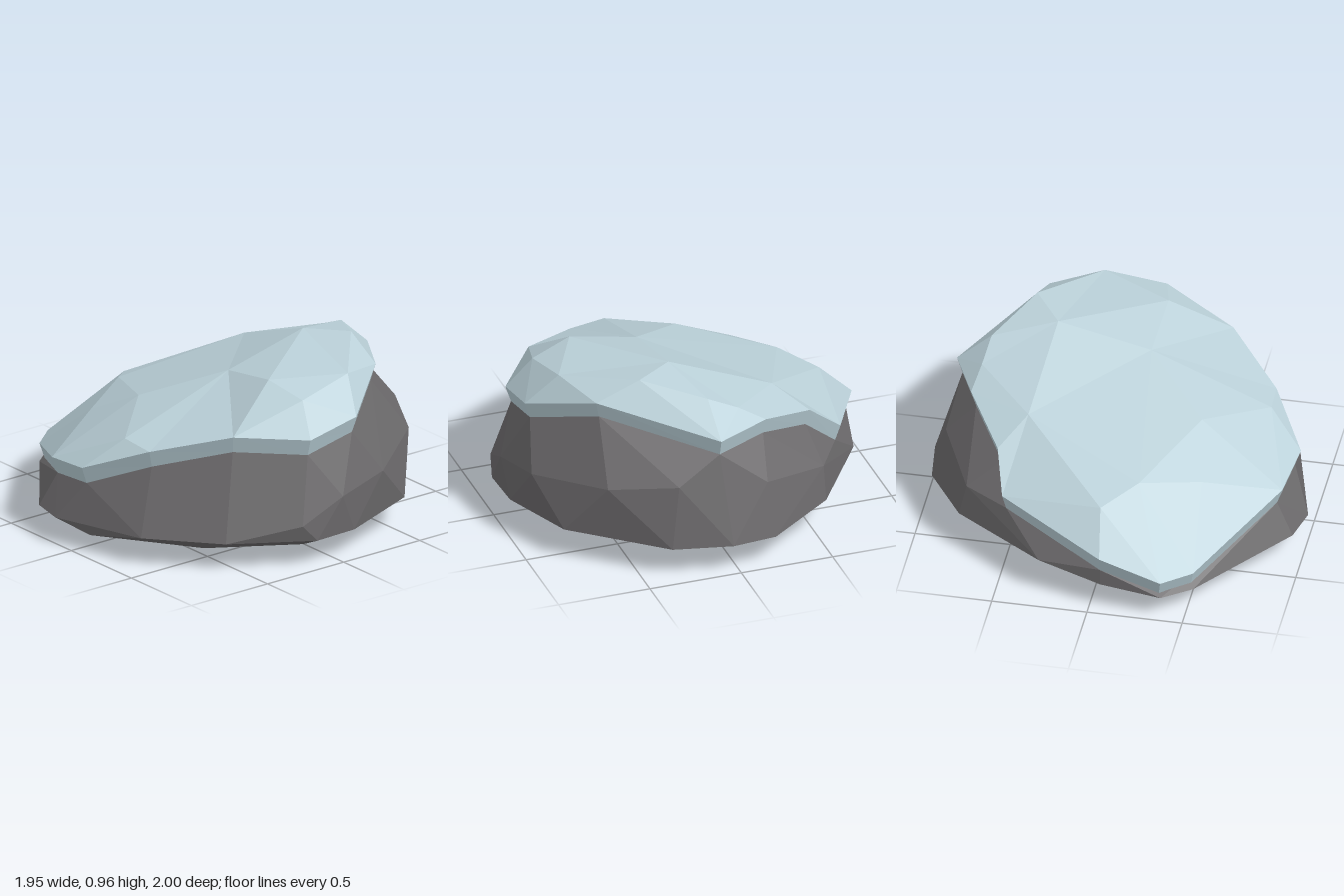
import * as THREE from 'three';
import { ConvexGeometry } from 'three/addons/geometries/ConvexGeometry.js';

const vec = (p) => new THREE.Vector3(...p);

// Lower lip of the snow, clockwise from the back (seen from above)
const RIM = [
  [0.07, 0.73, -0.89], [0.62, 0.86, -0.51], [0.89, 0.73, -0.17], [0.89, 0.67, 0.13],
  [0.65, 0.69, 0.45], [0.32, 0.58, 0.74], [0, 0.44, 0.93], [-0.3, 0.4, 0.89],
  [-0.86, 0.22, 0.53], [-0.98, 0.22, 0.38], [-0.98, 0.33, 0.06], [-0.72, 0.47, -0.5],
  [-0.53, 0.63, -0.56], [-0.22, 0.74, -0.76],
].map(vec);

// Corners of the faceted snow surface
const CROWN = [
  [0.39, 0.965, -0.53], [0.08, 0.89, -0.71], [-0.08, 0.82, -0.73], [0.18, 0.955, -0.38],
  [-0.37, 0.75, -0.43], [-0.79, 0.52, 0.03], [0.54, 0.9, 0.13], [0.76, 0.84, 0.08],
  [0.73, 0.905, -0.24], [0.18, 0.84, 0.11], [-0.15, 0.68, 0.44], [-0.47, 0.52, 0.5],
  [-0.62, 0.58, 0.2], [0.13, 0.6, 0.75],
].map(vec);

// Widest belt of the rock, just above the ground
const BELT = [
  [0.04, 0.165, -1], [0.35, 0.165, -0.93], [0.81, 0.17, -0.55], [0.95, 0.14, -0.11],
  [0.96, 0.14, 0.14], [0.94, 0.23, 0.22], [0.73, 0.15, 0.56], [0.39, 0.15, 0.85],
  [0.07, 0.09, 0.93], [-0.14, 0.14, 0.995], [-0.33, 0.14, 0.95], [-0.86, 0.12, 0.53],
  [-0.975, 0.125, 0.38], [-0.95, 0.15, 0.06], [-0.87, 0.2, -0.28], [-0.55, 0.2, -0.76],
  [-0.2, 0.16, -0.97],
].map(vec);

// Corners partway up the walls
const WALL = [
  [0.97, 0.35, -0.02], [0.91, 0.4, -0.33], [0.63, 0.46, -0.72], [0.3, 0.5, -0.89],
  [-0.18, 0.45, -0.9], [-0.55, 0.38, -0.72],
].map(vec);

// Shallow rounded underside
const UNDERSIDE = [
  [0.79, 0.06, 0.1], [0.42, 0.01, 0.2], [-0.34, 0, 0.1], [-0.86, 0.08, 0.2], [0, 0.03, 0.66],
  [0, 0, -0.08], [0.1, 0.05, -0.75], [0.58, 0.05, -0.48], [-0.55, 0.06, -0.5], [0.5, 0.05, 0.52],
  [-0.5, 0.05, 0.55],
].map(vec);

// Bottom of the lip: dropped by the snow thickness and drawn in slightly
const lowered = (p) => new THREE.Vector3(p.x * 0.967, p.y - 0.09, p.z * 0.967);

function insideRim(x, z) {
  let inside = false;
  RIM.forEach((a, i) => {
    const b = RIM[(i + 1) % RIM.length];
    if ((a.z > z) !== (b.z > z) && x < a.x + ((z - a.z) / (b.z - a.z)) * (b.x - a.x)) inside = !inside;
  });
  return inside;
}

// Triangles over points seen from above whose circumcircle holds no other point
function triangulate(points) {
  const faces = [];
  const n = points.length;
  for (let i = 0; i < n; i++) for (let j = i + 1; j < n; j++) for (let k = j + 1; k < n; k++) {
    const a = points[i], b = points[j], c = points[k];
    const bx = b.x - a.x, bz = b.z - a.z, cx = c.x - a.x, cz = c.z - a.z;
    const d = 2 * (bx * cz - bz * cx);
    if (Math.abs(d) < 1e-6) continue;
    if (!insideRim((a.x + b.x + c.x) / 3, (a.z + b.z + c.z) / 3)) continue;
    const b2 = bx * bx + bz * bz, c2 = cx * cx + cz * cz;
    const ux = (cz * b2 - bz * c2) / d, uz = (bx * c2 - cx * b2) / d;
    const r2 = ux * ux + uz * uz;
    const empty = points.every((p, m) => m === i || m === j || m === k ||
      (p.x - a.x - ux) ** 2 + (p.z - a.z - uz) ** 2 > r2 - 1e-9);
    if (empty) faces.push(d < 0 ? [a, b, c] : [a, c, b]);
  }
  return faces;
}

function facetedMesh(name, faces, material) {
  const geometry = new THREE.BufferGeometry().setFromPoints(faces.flat());
  geometry.computeVertexNormals();
  const mesh = new THREE.Mesh(geometry, material);
  mesh.name = name;
  return mesh;
}

export function createModel() {
  const stone = new THREE.MeshStandardMaterial({ color: 0x6b696b });
  stone.name = 'dark grey stone';
  const snow = new THREE.MeshStandardMaterial({ color: 0xbad0d8 });
  snow.name = 'pale blue snow';

  const group = new THREE.Group();
  group.name = 'snowyBoulder';

  // Boulder body
  const lip = RIM.map(lowered);
  const boulder = new THREE.Mesh(new ConvexGeometry([...BELT, ...WALL, ...UNDERSIDE, ...lip]), stone);
  boulder.name = 'boulder';
  group.add(boulder);

  // Snow surface
  group.add(facetedMesh('snowCap', triangulate([...RIM, ...CROWN]), snow));

  // Snow edge
  const edge = RIM.flatMap((p, i) => {
    const j = (i + 1) % RIM.length;
    return [[RIM[j], lip[j], lip[i]], [RIM[j], lip[i], p]];
  });
  group.add(facetedMesh('snowEdge', edge, snow));

  return group;
}
